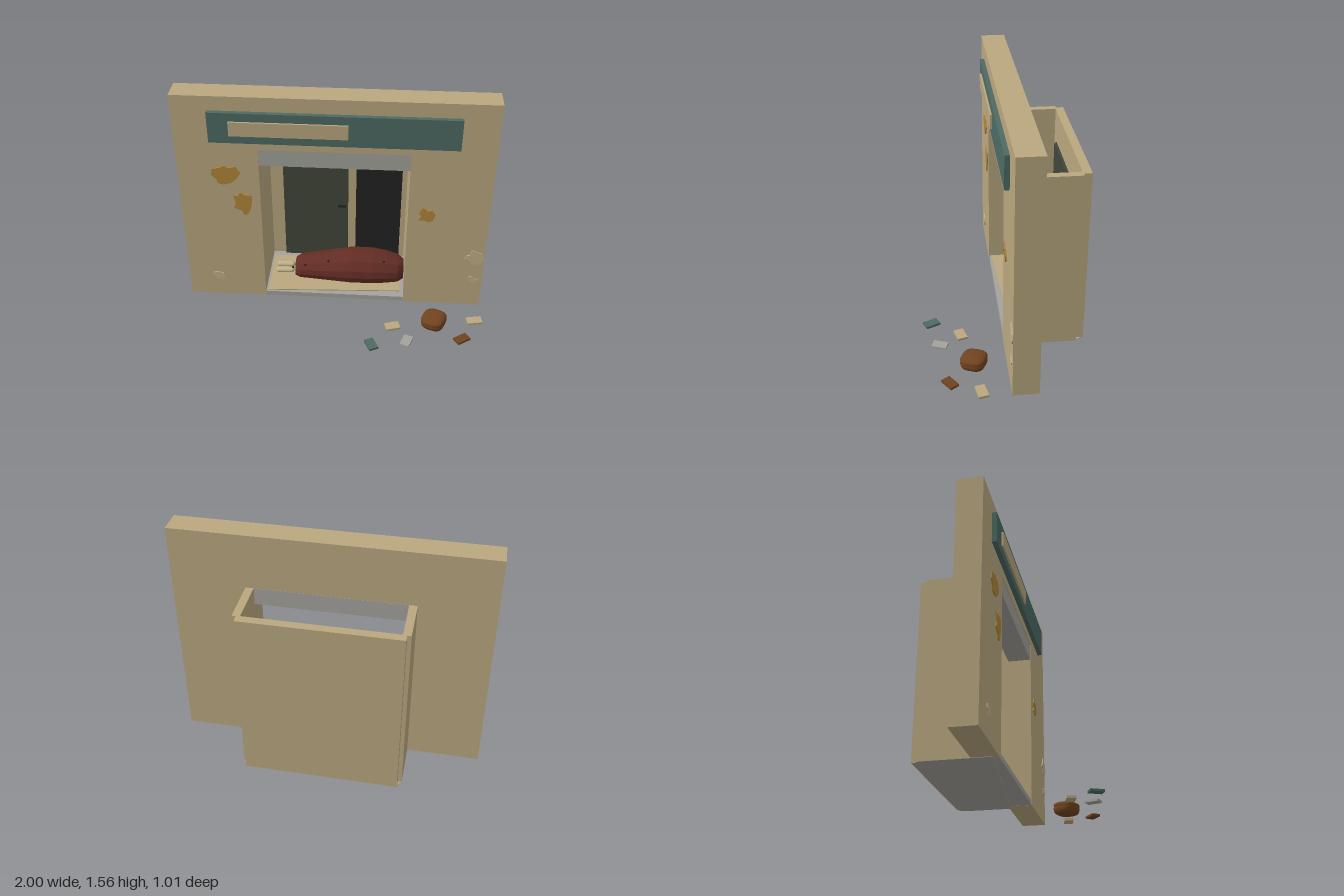
import * as THREE from 'three';

const mat = (name, color, extra = {}) => {
  const m = new THREE.MeshStandardMaterial({ color, ...extra });
  m.name = name;
  return m;
};

export function createModel() {
  const sand = mat('sandPlaster', 0xb9a77f);
  const teal = mat('tealPaint', 0x4d6a62);
  const grey = mat('greyConcrete', 0xa3a29c);
  const green = mat('darkGreenDoor', 0x41463a);
  const black = mat('blackPanel', 0x222223);
  const red = mat('darkRedCloth', 0x632d24);
  const brown = mat('brownLeather', 0x70431f);
  const gold = mat('goldStain', 0xb0863a);
  const cream = mat('creamChip', 0xc0b088);
  const root = new THREE.Group();
  root.name = 'doorwayScene';

  const add = (name, geo, m, x = 0, y = 0, z = 0) => {
    const mesh = new THREE.Mesh(geo, m);
    mesh.name = name;
    mesh.position.set(x, y, z);
    root.add(mesh);
    return mesh;
  };
  // Box from its two corners
  const box = (name, m, x0, x1, y0, y1, z0, z1) =>
    add(name, new THREE.BoxGeometry(x1 - x0, y1 - y0, z1 - z0), m, (x0 + x1) / 2, (y0 + y1) / 2, (z0 + z1) / 2);
  const poly = (pts) => new THREE.Shape(pts.map(([x, y]) => new THREE.Vector2(x, y)));
  // Horizontal slab from an x/z outline
  const slab = (name, m, pts, y0, y1) => {
    const g = new THREE.ExtrudeGeometry(poly(pts.map(([x, z]) => [x, -z])), { depth: y1 - y0, bevelEnabled: false });
    g.rotateX(-Math.PI / 2);
    return add(name, g, m, 0, y0, 0);
  };

  // Front wall with a doorway open at the bottom
  const wall = poly([[-1, 0.035], [-0.48, 0.035], [-0.48, 1.205], [0.465, 1.205], [0.465, 0.035],
    [0.985, 0.035], [0.985, 1.565], [-1, 1.565]]);
  add('frontWall', new THREE.ExtrudeGeometry(wall, { depth: 0.16, bevelEnabled: false }), sand, 0, 0, -0.16);
  box('lintel', grey, -0.48, 0.465, 1.09, 1.204, -0.16, -0.004);

  // Alcove behind the doorway, open on top
  box('alcoveRightWall', sand, -0.53, -0.48, 0.035, 1.205, -0.46, -0.16);
  box('alcoveLeftWall', sand, 0.465, 0.515, 0.035, 1.205, -0.46, -0.16);
  box('alcoveBackWall', sand, -0.505, 0.49, 0.035, 1.205, -0.51, -0.455);
  box('alcoveFloor', grey, -0.48, 0.465, 0.036, 0.069, -0.456, -0.003);
  slab('floorUnderside', grey, [[-0.53, -0.03], [0.515, -0.147], [0.515, -0.459], [0.49, -0.5],
    [-0.505, -0.5], [-0.53, -0.459]], 0.032, 0.036);
  slab('floorMat', sand, [[-0.464, -0.015], [0.44, -0.06], [0.455, -0.435], [-0.465, -0.4]], 0.069, 0.076);

  // Door, handle and dark side panel
  box('door', green, -0.39, 0.06, 0.07, 1.0, -0.455, -0.438);
  box('doorHandle', black, -0.012, 0.045, 0.5, 0.515, -0.438, -0.43);
  box('darkPanel', black, 0.115, 0.43, 0.07, 0.985, -0.455, -0.445);

  // Sign board above the doorway
  box('signBoard', teal, -0.775, 0.76, 1.265, 1.47, 0, 0.03);
  box('signPlate', sand, -0.645, 0.08, 1.32, 1.415, 0.03, 0.042);

  // Cloth bundle lofted along x: x, half width, height
  const stations = [[-0.295, 0.075, 0.085], [-0.26, 0.1, 0.105], [-0.1, 0.118, 0.135], [0.1, 0.14, 0.172],
    [0.25, 0.138, 0.172], [0.34, 0.125, 0.16], [0.425, 0.105, 0.135], [0.465, 0.06, 0.115]];
  const section = [[-0.9, 0], [-1, 0.28], [-0.93, 0.58], [-0.62, 0.9], [-0.2, 1], [0.2, 1],
    [0.62, 0.9], [0.93, 0.58], [1, 0.28], [0.9, 0]];
  const n = section.length;
  const pos = [];
  const idx = [];
  for (const [x, w, h] of stations) for (const [a, b] of section) pos.push(x, 0.08 + b * h, -0.245 + a * w);
  for (let i = 0; i < stations.length - 1; i++) {
    for (let j = 0; j < n; j++) {
      const a = i * n + j, c = i * n + (j + 1) % n;
      idx.push(a, c, a + n, c, c + n, a + n);
    }
  }
  const last = (stations.length - 1) * n;
  for (let j = 1; j < n - 1; j++) idx.push(0, j + 1, j, last, last + j, last + j + 1);
  let bundle = new THREE.BufferGeometry();
  bundle.setAttribute('position', new THREE.Float32BufferAttribute(pos, 3));
  bundle.setIndex(idx);
  bundle = bundle.toNonIndexed();
  bundle.computeVertexNormals();
  add('clothBundle', bundle, red);

  // Pair of feet at the end of the bundle
  for (const z of [-0.275, -0.21]) {
    const g = new THREE.CapsuleGeometry(0.024, 0.087, 6, 12);
    g.rotateZ(Math.PI / 2);
    g.scale(1, 0.8, 1);
    const foot = add('foot', g, cream, -0.37, 0.1, z);
    foot.rotation.set(0, -0.06, 0.08);
  }
  // Flies above the bundle
  for (const [x, y, z] of [[-0.298, 0.22, -0.09], [-0.218, 0.21, -0.13], [-0.058, 0.245, -0.14], [0.325, 0.25, -0.15]])
    add('fly', new THREE.SphereGeometry(0.008, 8, 6), black, x, y, z);

  // Thin ragged patches on the wall
  const patch = (name, m, x, y, pts) =>
    add(name, new THREE.ExtrudeGeometry(poly(pts), { depth: 0.007, bevelEnabled: false }), m, x, y, 0);
  patch('upperStain', gold, -0.69, 1.015, [[-0.09, 0.045], [-0.04, 0.055], [-0.01, 0.07], [0.01, 0.055], [0.06, 0.065],
    [0.075, 0.04], [0.09, 0.02], [0.07, -0.02], [0.03, -0.055], [-0.02, -0.07], [-0.055, -0.06], [-0.065, -0.03], [-0.095, 0]]);
  patch('lowerStain', gold, -0.595, 0.8, [[-0.06, 0.065], [-0.03, 0.06], [-0.015, 0.085], [0.01, 0.07], [0.055, 0.07],
    [0.06, 0.03], [0.05, -0.03], [0.03, -0.08], [0.005, -0.085], [-0.01, -0.05], [-0.06, -0.03], [-0.045, 0.01]]);
  patch('sideStain', gold, 0.585, 0.77, [[-0.03, 0.055], [0, 0.03], [0.03, 0.035], [0.055, 0], [0.04, -0.045],
    [0.01, -0.055], [-0.02, -0.04], [-0.055, -0.045], [-0.035, -0.01], [-0.05, 0.015]]);
  patch('largeChip', cream, 0.925, 0.44, [[-0.025, 0.06], [0.01, 0.045], [0.05, 0.03], [0.065, -0.005], [0.04, -0.045],
    [0, -0.06], [-0.03, -0.055], [-0.04, -0.02], [-0.07, -0.01], [-0.06, 0.015], [-0.04, 0.02]]);
  patch('smallChip', cream, 0.925, 0.255, [[-0.03, 0.02], [-0.01, 0.03], [0.005, 0.015], [0.035, 0], [0.02, -0.025],
    [-0.005, -0.03], [-0.025, -0.015]]);
  patch('lowChip', cream, -0.795, 0.195, [[-0.04, 0.025], [-0.01, 0.035], [0.03, 0.025], [0.045, -0.005], [0.025, -0.035],
    [0.01, -0.01], [-0.015, -0.04], [-0.025, -0.01], [-0.045, 0]]);

  // Rounded brown bag: a sphere pushed towards a box, with a creased waist
  const bag = new THREE.SphereGeometry(1, 32, 24);
  const p = bag.attributes.position;
  const v = new THREE.Vector3();
  for (let i = 0; i < p.count; i++) {
    v.fromBufferAttribute(p, i);
    const k = (Math.abs(v.x) ** 3.2 + Math.abs(v.y) ** 3.2 + Math.abs(v.z) ** 3.2) ** (-1 / 3.2);
    const waist = 1 - 0.05 * Math.exp(-(((v.y - 0.2) / 0.09) ** 2));
    const taper = 0.94 + 0.06 * v.y;
    p.setXYZ(i, v.x * k * waist * taper * 0.083, v.y * k * 0.047, v.z * k * waist * taper * 0.083);
  }
  bag.computeVertexNormals();
  add('brownBag', bag, brown, 0.672, 0.053, 0.2).rotation.set(0.06, -0.42, 0.07);

  // Loose tiles on the ground: material, x, z, width, depth, turn
  for (const [m, x, z, w, d, r] of [[teal, 0.262, 0.445, 0.062, 0.095, 0.43], [sand, 0.397, 0.265, 0.095, 0.065, 0.28],
    [grey, 0.49, 0.4, 0.062, 0.095, -0.35], [brown, 0.85, 0.355, 0.095, 0.06, 0.6], [sand, 0.942, 0.175, 0.1, 0.062, 0.2]])
    add('looseTile', new THREE.BoxGeometry(w, 0.015, d), m, x, 0.042, z).rotation.y = r;

  return root;
}
